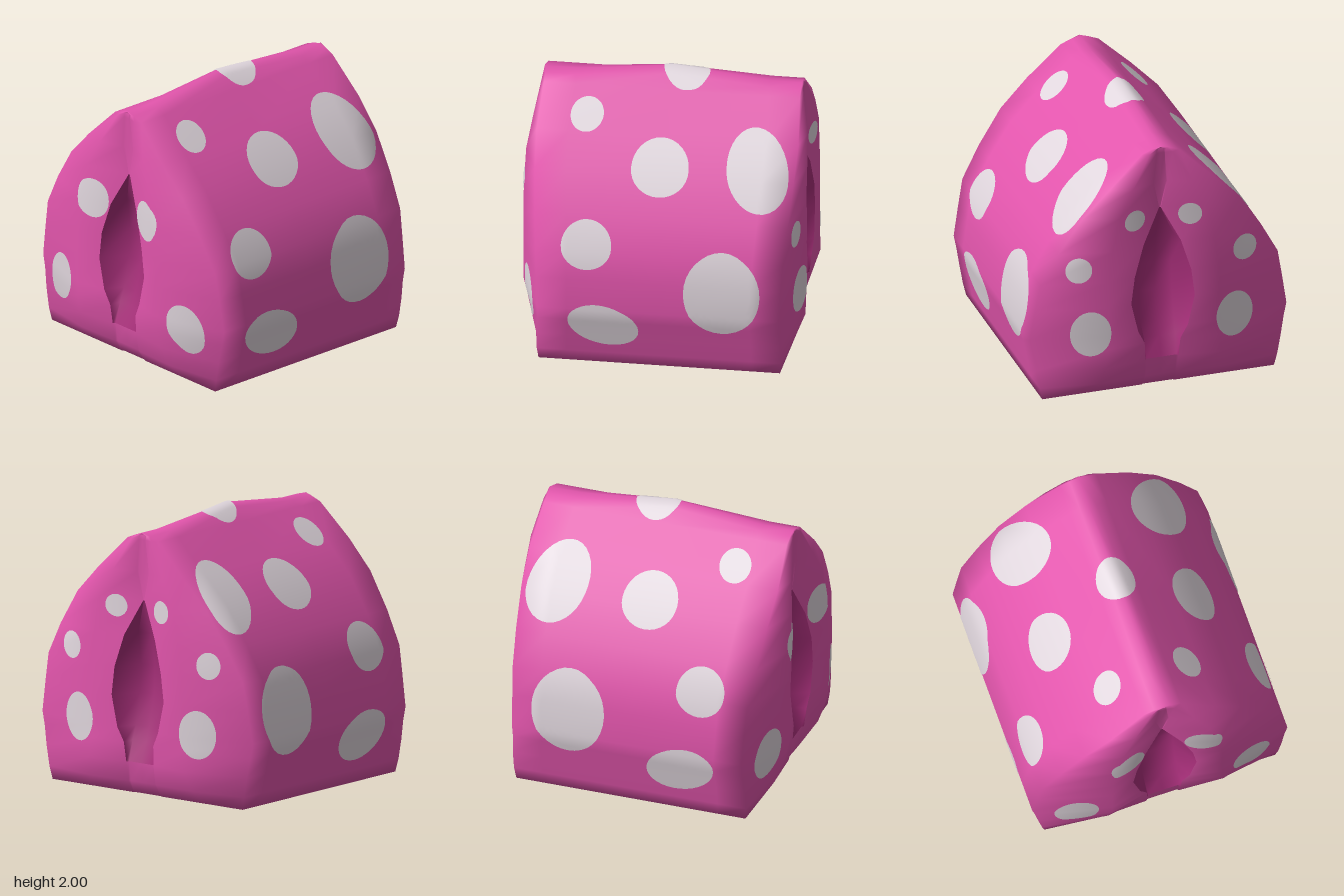
import * as THREE from 'three';
import { mergeVertices } from 'three/addons/utils/BufferGeometryUtils.js';

const pink = new THREE.MeshStandardMaterial({ name: 'pink', color: 0xe255ac });
const darkPink = new THREE.MeshStandardMaterial({ name: 'dark pink', color: 0xa82f7a, side: THREE.DoubleSide });
const paleGrey = new THREE.MeshStandardMaterial({ name: 'pale grey', color: 0xe0d6dd });

// Horizontal sections: y, half width, corner z, bulge z, bulge x, slit edge x, slit edge z, slit floor z
const LEVELS = [
  [0, 0.40, 0.38, 0.41, 0.25, 0.12, 0.41, 0.41],
  [0.08, 0.84, 0.82, 0.82, 0.50, 0.12, 0.82, 0.81],
  [0.17, 0.86, 0.83, 0.89, 0.45, 0.12, 0.88, 0.87],
  [0.31, 0.885, 0.83, 0.945, 0.42, 0.12, 0.905, 0.89],
  [0.45, 0.91, 0.82, 0.98, 0.40, 0.13, 0.92, 0.84],
  [0.55, 0.93, 0.82, 0.98, 0.40, 0.18, 0.93, 0.80],
  [0.77, 0.895, 0.83, 0.98, 0.40, 0.23, 0.93, 0.75],
  [0.97, 0.86, 0.84, 0.98, 0.40, 0.205, 0.93, 0.74],
  [1.20, 0.735, 0.86, 0.98, 0.37, 0.135, 0.91, 0.77],
  [1.45, 0.57, 0.88, 0.97, 0.32, 0.006, 0.86, 0.86],
  [1.65, 0.375, 0.89, 0.935, 0.22, 0.05, 0.87, 0.86],
  [1.88, 0.135, 0.87, 0.89, 0.085, 0.03, 0.88, 0.88],
  [1.91, 0.06, 0.87, 0.88, 0.04, 0.02, 0.875, 0.875],
  [1.925, 0, 0.87, 0.88, 0, 0, 0.875, 0.875],
];
const SLIT_FROM = 3, SLIT_TO = 9, RING = 24;

// One closed ring, counterclockwise seen from above, starting at the front centre
function ring([y, w, zc, zb, bx, s, ze, zf]) {
  const fx = Math.min(0.12, s * 0.9);
  const front = [[0, zf], [fx, zf], [s, ze], [bx, zb], [w, zc], [w, zc * 0.75]];
  const back = front.map(([x, z]) => [x, Math.max(-0.98, -(z + 0.035))]).reverse();
  const half = [...front, [w, 0], ...back];
  const mirrored = half.slice(1, -1).reverse().map(([x, z]) => [-x, z]);
  return [...half, ...mirrored].map(([x, z]) => {
    // The last two rings rise towards the middle of the ridge
    const rise = y > 1.9 ? Math.max(0, 1 - Math.abs(z) / 0.66) * (w > 0 ? 0.06 : 0.075) : 0;
    return [x, y + rise, z];
  });
}

// Is this cell inside the front or back slit?
function isSlit(i, j) {
  const nearCentre = j < 2 || j >= 22 || (j >= 10 && j < 14);
  return i >= SLIT_FROM && i < SLIT_TO && nearCentre;
}

function skin(wantSlit) {
  const points = LEVELS.map(ring).flat();
  const base = points.push([0, 0, 0]) - 1;
  const index = [];
  for (let i = 0; i < LEVELS.length - 1; i++) {
    for (let j = 0; j < RING; j++) {
      if (isSlit(i, j) !== wantSlit) continue;
      const a = i * RING + j, b = i * RING + (j + 1) % RING;
      index.push(a, b, b + RING, a, b + RING, a + RING);
    }
  }
  if (!wantSlit) for (let j = 0; j < RING; j++) index.push(base, (j + 1) % RING, j);
  let geometry = new THREE.BufferGeometry();
  geometry.setAttribute('position', new THREE.Float32BufferAttribute(points.flat(), 3));
  geometry.setIndex(index);
  geometry = mergeVertices(geometry, 1e-4);
  geometry.computeVertexNormals();
  return geometry;
}

// Thin rounded patch laid on the skin by casting rays along -axis
function spotGeometry(targets, axis, u, v, [cu, cv, ru, rv, tilt = 0]) {
  const RINGS = 8, SIDES = 32, position = [], normal = [], index = [];
  const caster = new THREE.Raycaster();
  const add = (r, angle) => {
    const p = Math.cos(angle) * ru * r, q = Math.sin(angle) * rv * r;
    const c = Math.cos(tilt), s = Math.sin(tilt);
    const origin = axis.clone().multiplyScalar(3)
      .addScaledVector(u, cu + p * c - q * s)
      .addScaledVector(v, cv + p * s + q * c);
    caster.set(origin, axis.clone().negate());
    const hit = caster.intersectObjects(targets)[0];
    const at = hit ? hit.point : origin.addScaledVector(axis, -2.1);
    const n = hit ? hit.normal : axis;
    at.addScaledVector(n, 0.006);
    position.push(at.x, at.y, at.z);
    normal.push(n.x, n.y, n.z);
  };
  add(0, 0);
  for (let k = 1; k <= RINGS; k++) {
    for (let j = 0; j < SIDES; j++) {
      add(k / RINGS, (j / SIDES) * Math.PI * 2);
      const a = 1 + (k - 1) * SIDES + j, b = 1 + (k - 1) * SIDES + (j + 1) % SIDES;
      if (k === 1) index.push(0, a, b);
      else index.push(a - SIDES, a, b, a - SIDES, b, b - SIDES);
    }
  }
  const geometry = new THREE.BufferGeometry();
  geometry.setAttribute('position', new THREE.Float32BufferAttribute(position, 3));
  geometry.setAttribute('normal', new THREE.Float32BufferAttribute(normal, 3));
  geometry.setIndex(index);
  return geometry;
}

// Spots: centre across, centre up, radius across, radius up, tilt
const FRONT = [[0.275, 1.215, 0.128, 0.145], [0.635, 0.505, 0.14, 0.18, 0.4]];
const BACK = [[0.2, 1.4, 0.08, 0.08], [0.6, 1.07, 0.09, 0.095], [0.52, 0.58, 0.14, 0.17]];
const SIDE = [ // across is z
  [0.55, 1.735, 0.115, 0.088, -0.1],
  [0.015, 1.485, 0.2, 0.16],
  [-0.66, 1.495, 0.205, 0.24, -0.6],
  [0.49, 1.01, 0.175, 0.165],
  [-0.455, 0.72, 0.265, 0.305],
  [0.365, 0.42, 0.25, 0.165, 0.25],
];

export function createModel() {
  const group = new THREE.Group();
  const addMesh = (name, geometry, material) => {
    const mesh = new THREE.Mesh(geometry, material);
    mesh.name = name;
    group.add(mesh);
    return mesh;
  };
  const body = addMesh('body', skin(false), pink);
  const slits = addMesh('slits', skin(true), darkPink);
  const targets = [body, slits];

  const X = new THREE.Vector3(1, 0, 0), Y = new THREE.Vector3(0, 1, 0), Z = new THREE.Vector3(0, 0, 1);
  const flip = (v) => v.clone().negate();
  const addSpot = (name, axis, u, v, spot) =>
    addMesh(name, spotGeometry(targets, axis, u, v, spot), paleGrey);
  const mirror = ([cu, cv, ru, rv, tilt = 0]) => [-cu, cv, ru, rv, -tilt];

  for (const spot of FRONT) {
    addSpot('frontSpot', Z, X, Y, spot);
    addSpot('frontSpot', Z, X, Y, mirror(spot));
  }
  for (const spot of BACK) {
    addSpot('backSpot', flip(Z), flip(X), Y, spot);
    addSpot('backSpot', flip(Z), flip(X), Y, mirror(spot));
  }
  for (const spot of SIDE) {
    addSpot('leftSpot', X, flip(Z), Y, mirror(spot));
    addSpot('rightSpot', flip(X), Z, Y, spot);
  }
  addSpot('ridgeSpot', Y, X, flip(Z), [0, 0.11, 0.13, 0.16]);
  return group;
}
